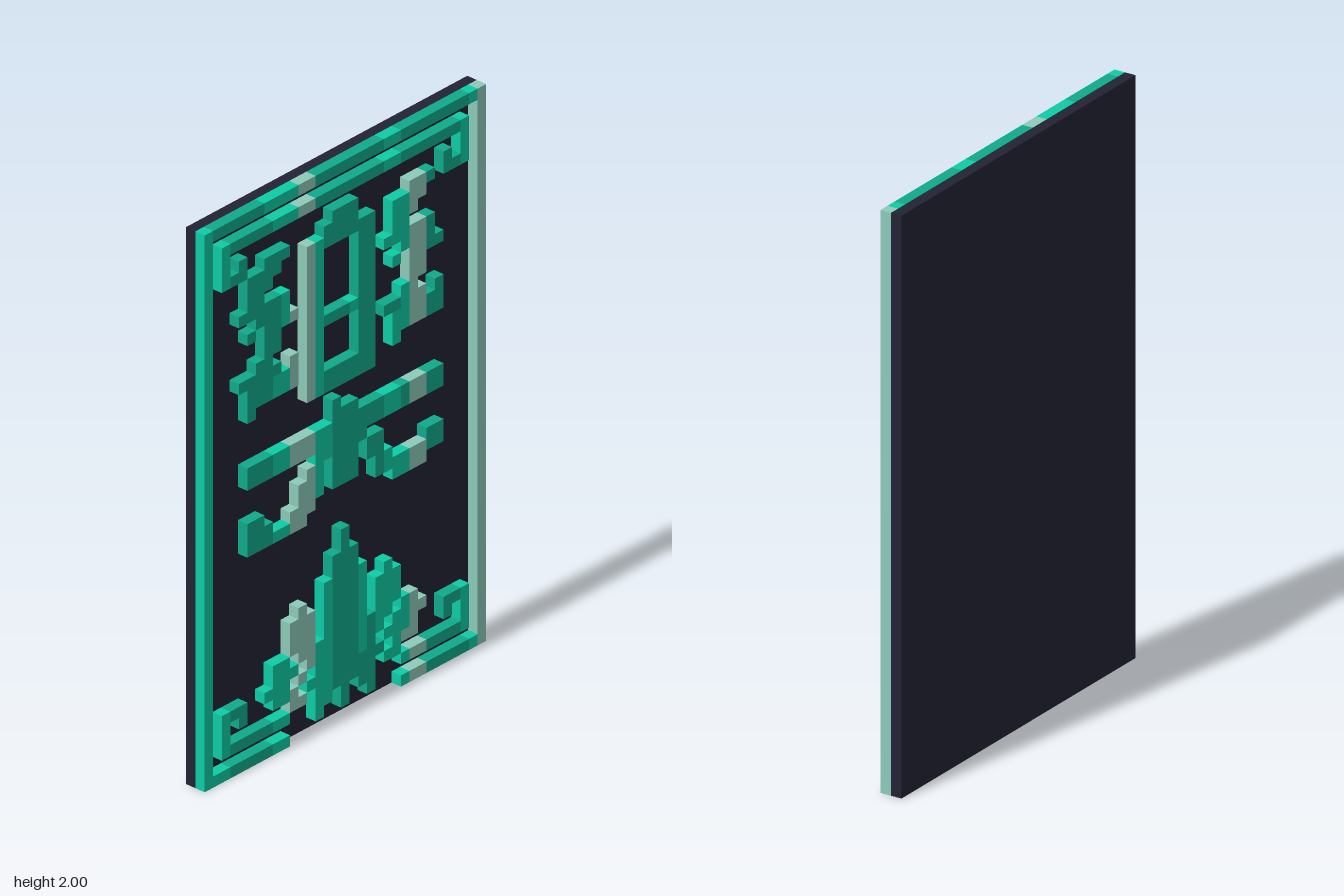
import * as THREE from 'three';
import { mergeGeometries } from 'three/addons/utils/BufferGeometryUtils.js';

const CELL = 0.04, COLS = 33, ROWS = 50;

const flat = (name, color) => {
  const m = new THREE.MeshStandardMaterial({ color });
  m.name = name;
  return m;
};

// Relief parts: [name, left column, top row, cell pattern]
// B = bright green, M = mid green, P = pale green
const reliefs = [
  ['topRail', 1, 0, ['MMMMMMBBBBPPMMMMMMMMBBMMMMMMMMB']],
  ['leftRail', 0, 0, Array(ROWS).fill('B')],
  ['rightRail', 32, 0, Array(ROWS).fill('P')],
  ['bottomRailLeft', 1, 49, ['BBMMMMMBB']],
  ['bottomRailRight', 23, 49, ['BPPMMMMMB']],
  ['topScroll', 2, 2, [
    'BMMMMMBBBPPMMMMMMMMBBMMMMMMMB',
    'B...........................B',
    'B.M.......................M.B',
    'BMM.......................MMB']],
  ['bottomScrollLeft', 2, 44, ['BMM', 'B.M', 'B', 'BMMMMMBB']],
  ['bottomScrollRight', 23, 44, ['.....MMB', '.....M.B', '.......B', 'BPPMMMMB']],
  ['leftGlyph', 4, 5, [
    '...MMM.',
    '.MMMM..',
    '.MMM...',
    '.MM....',
    'MMMMMB.',
    '..MMMB.',
    '.M.MMBP',
    '...MM..',
    '...MM..',
    '..MM...',
    'MMMMM.P',
    '.MMMBBP',
    '.MMMBBP',
    '.M.....']],
  ['rightGlyph', 21, 5, [
    '...PPM.',
    '.BBPP..',
    '.BBP...',
    '.BB....',
    'BBBPPM.',
    '..BPPM.',
    '.B.PPMM',
    '...PP..',
    '...PP..',
    '..BP...',
    'MMBPP.M',
    '.BBPPMM',
    '.BBPPMM',
    '.B.....']],
  ['middleGlyph', 12, 4, [
    '...MMM..',
    '..MMMM..',
    'PBMMMMMM',
    ...Array(6).fill('PB....MM'),
    'PBMMMBMM',
    ...Array(4).fill('PB....MM'),
    'PBMMMMMM',
    'PBMMMMMM']],
  ['lowerGlyph', 5, 21, [
    '..........M............',
    '..........MMM..........',
    'MMMBBPPPBBMMMMMMBBMPPMM',
    'MMMBBPPPBBMMMMMMBBMPPMM',
    '........BBMMMM.........',
    '.......PB.MMM.MM.......',
    '......PPB.MMM.MM.......',
    'MM....PPB.MMM..MB....MM',
    'MMM..PPP.......MBBBPPMM',
    'MMMBBPP..........BBPP..']],
  ['flower', 7, 33, [
    '.........M.........',
    '.........M.........',
    '........MMM........',
    '........MMM........',
    '.......BMMMB.......',
    '....P..BMMMB..B....',
    '...PPP.BMMMB.BBB...',
    '...PPP.BMMMB.BBB...',
    '...PPP.BMMMB.BBB...',
    '.BB.PPBBMMMBMBB.BP.',
    '.BBB.PBBMMMBMB.BBPP',
    'BBB.P.BBMMMBM.BBBP.',
    '.BBP.BBBMMMMMM.BPP.',
    '...PP.BBMMMMM.BB...',
    '......BB.M.MM......',
    '......B..M..M......']],
];

// Group equal cells into rectangles: [column, row, width, height, key]
function rectangles(rows) {
  const grid = rows.map((r) => [...r]), out = [];
  grid.forEach((line, r) => line.forEach((key, c) => {
    if (key === '.' || line[c] === '.') return;
    let w = 1, h = 1;
    while (line[c + w] === key) w++;
    const fits = (l) => l && Array.from({ length: w }, (_, i) => l[c + i]).every((k) => k === key);
    while (fits(grid[r + h])) h++;
    for (let j = 0; j < h; j++) grid[r + j].fill('.', c, c + w);
    out.push([c, r, w, h, key]);
  }));
  return out;
}

export function createModel() {
  const model = new THREE.Group();
  model.name = 'reliefPanel';
  const materials = {
    B: flat('brightGreen', 0x0ecba5),
    M: flat('midGreen', 0x0fa98a),
    P: flat('paleGreen', 0x8ccab9),
  };

  // Dark backing board
  const board = new THREE.Mesh(
    new THREE.BoxGeometry(COLS * CELL, ROWS * CELL, CELL), flat('darkNavy', 0x222234));
  board.name = 'backingBoard';
  board.position.set(0, ROWS * CELL / 2, -CELL / 2);
  model.add(board);

  // Raised blocks, one mesh per colour in each part
  for (const [name, col, row, pattern] of reliefs) {
    const part = new THREE.Group();
    part.name = name;
    const byColour = {};
    for (const [c, r, w, h, key] of rectangles(pattern)) {
      const box = new THREE.BoxGeometry(w * CELL, h * CELL, CELL);
      box.translate((col + c + w / 2 - COLS / 2) * CELL, (ROWS - row - r - h / 2) * CELL, CELL / 2);
      (byColour[key] ??= []).push(box);
    }
    for (const [key, boxes] of Object.entries(byColour)) {
      const mesh = new THREE.Mesh(mergeGeometries(boxes), materials[key]);
      mesh.name = `${name} ${materials[key].name}`;
      part.add(mesh);
    }
    model.add(part);
  }
  return model;
}
